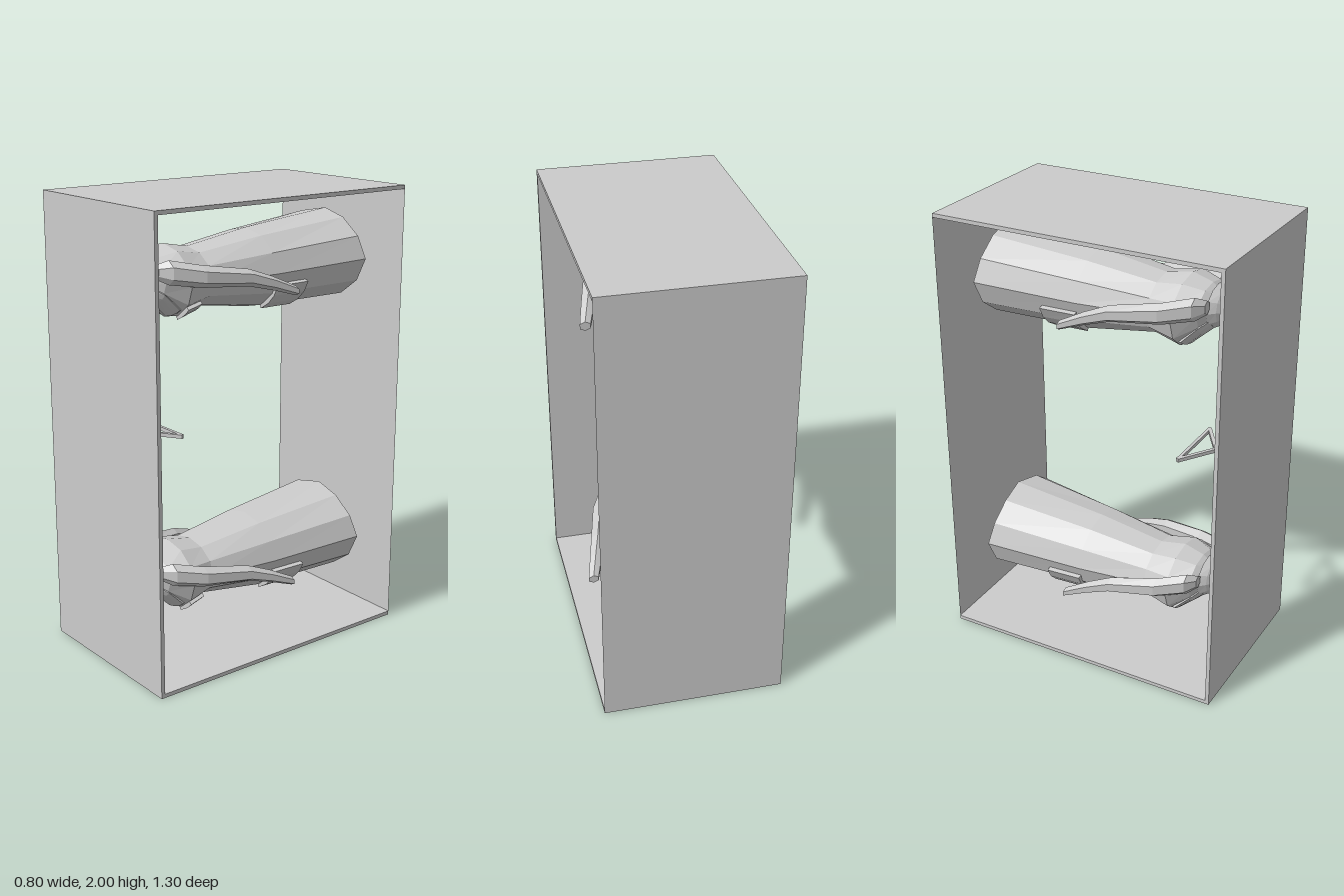
import * as THREE from 'three';

const flat = new THREE.MeshStandardMaterial({ color: 0xcccccc, flatShading: true, side: THREE.DoubleSide });

function part(parent, name, geo, x = 0, y = 0, z = 0) {
  const m = new THREE.Mesh(geo, flat);
  m.name = name;
  m.position.set(x, y, z);
  parent.add(m);
  return m;
}

// Skin over rings of points; rings run towards -z, each counterclockwise seen from +z
function loft(rings, capStart = true, capEnd = true) {
  const n = rings[0].length, last = (rings.length - 1) * n, idx = [];
  for (let i = 0; i < rings.length - 1; i++) {
    for (let j = 0; j < n; j++) {
      const a = i * n + j, b = i * n + (j + 1) % n, c = b + n, d = a + n;
      idx.push(a, d, c, a, c, b);
    }
  }
  for (let j = 1; j < n - 1; j++) {
    if (capStart) idx.push(0, j, j + 1);
    if (capEnd) idx.push(last, last + j + 1, last + j);
  }
  const g = new THREE.BufferGeometry();
  g.setAttribute('position', new THREE.Float32BufferAttribute(rings.flat(2), 3));
  g.setIndex(idx);
  g.computeVertexNormals();
  return g;
}

// Coat sections: z, centre y, half width, half depth
const SECTIONS = [
  [0.49, 0, 0.05, 0.04],
  [0.46, 0, 0.08, 0.07],
  [0.42, 0, 0.15, 0.1],
  [0.33, -0.025, 0.2, 0.153],
  [0.21, -0.02, 0.175, 0.125],
  [-0.1, -0.018, 0.215, 0.172],
  [-0.55, 0.005, 0.27, 0.195],
];

// Point on the coat; angle t runs from the coat front (-y) towards +x
function onCoat(z, t, off = 0) {
  let i = 0;
  while (i < SECTIONS.length - 2 && z < SECTIONS[i + 1][0]) i++;
  const a = SECTIONS[i], b = SECTIONS[i + 1], k = (z - a[0]) / (b[0] - a[0]);
  const [cy, rx, ry] = [1, 2, 3].map(n => a[n] + (b[n] - a[n]) * k);
  return [(rx + off) * Math.sin(t), cy - (ry + off) * Math.cos(t), z];
}

// Raised slab on the coat; rows are [z, startAngle, endAngle]
function patch(rows, thick, steps = 3) {
  return loft(rows.map(([z, t0, t1]) => {
    const outer = [], inner = [];
    for (let i = 0; i <= steps; i++) {
      const t = t0 + (t1 - t0) * i / steps;
      outer.push(onCoat(z, t, thick));
      inner.unshift(onCoat(z, t, -0.008));
    }
    return [...outer, ...inner];
  }));
}

function ellipse(cx, cy, z, rx, ry, n) {
  return Array.from({ length: n }, (_, j) => {
    const t = j / n * Math.PI * 2;
    return [cx + rx * Math.sin(t), cy - ry * Math.cos(t), z];
  });
}

function makeCoat() {
  const coat = new THREE.Group();
  coat.name = 'coat';
  const N = 12;
  // Body with an open hem that dips slightly at alternate folds
  const rings = SECTIONS.map(([z, cy, rx, ry], i) => {
    const ring = ellipse(0, cy, z, rx, ry, N);
    if (i === SECTIONS.length - 1) ring.forEach((p, j) => { p[2] += j % 3 ? 0.008 : -0.008; });
    return ring;
  });
  part(coat, 'coatBody', loft(rings, false, false));
  part(coat, 'collar', loft([
    ellipse(0, 0, 0.5, 0.05, 0.045, N),
    ellipse(0, 0.005, 0.475, 0.085, 0.08, N),
    ellipse(0, 0.005, 0.445, 0.115, 0.095, N),
  ], false, false));

  for (const s of [1, -1]) {
    const span = (z, t0, t1) => s > 0 ? [z, t0, t1] : [z, -t1, -t0];
    // Sleeve rows: x, y, z, half width, half depth
    const sleeve = [
      [0.125, 0.04, 0.455, 0.025, 0.03],
      [0.165, 0.04, 0.42, 0.04, 0.05],
      [0.225, 0.02, 0.3, 0.04, 0.046],
      [0.275, 0.0, 0.1, 0.037, 0.036],
      [0.305, -0.03, 0, 0.032, 0.029],
      [0.335, -0.068, -0.1, 0.026, 0.02],
    ].map(([x, y, z, rx, ry]) => ellipse(s * x, y, z, rx, ry, 6));
    part(coat, 'sleeve', loft(sleeve));
    part(coat, 'lapel', patch([
      span(0.455, 0.5, 1.2), span(0.42, 0.35, 1.05), span(0.35, 0.2, 0.8), span(0.21, 0.02, 0.15),
    ], 0.01));
    part(coat, 'sidePocket', patch([span(-0.1, 0.5, 1.3), span(-0.255, 0.5, 1.3)], 0.014));
  }
  part(coat, 'chestPocket', patch([[0.33, 0.45, 0.95], [0.25, 0.45, 0.95]], 0.014));
  return coat;
}

// Flat hanger in the xz plane, hooked round the rod
function makeHanger() {
  const hanger = new THREE.Group();
  hanger.name = 'hanger';
  const bar = (name, x0, z0, x1, z1, w) => {
    const len = Math.hypot(x1 - x0, z1 - z0);
    const m = part(hanger, name, new THREE.BoxGeometry(len + w * 0.6, 0.016, w), (x0 + x1) / 2, 0, (z0 + z1) / 2);
    m.rotation.y = -Math.atan2(z1 - z0, x1 - x0);
  };
  bar('hangerBase', -0.155, 0.358, 0.155, 0.358, 0.014);
  bar('hangerArm', 0, 0.46, 0.155, 0.358, 0.016);
  bar('hangerArm', 0, 0.46, -0.155, 0.358, 0.016);
  const hook = [[0, 0.46], [0, 0.51], [0.025, 0.53], [0.025, 0.56], [0, 0.573], [-0.03, 0.57], [-0.038, 0.545]];
  for (let i = 1; i < hook.length; i++) bar('hangerHook', ...hook[i - 1], ...hook[i], 0.012);
  return hanger;
}

export function createModel() {
  const model = new THREE.Group();
  model.name = 'wardrobe';
  const T = 0.017;

  // Cabinet shell, open on both x sides
  part(model, 'frontPanel', new THREE.BoxGeometry(0.8, 2 - 2 * T, T), 0, 1, 0.65 - T / 2);
  for (const y of [T / 2, 2 - T / 2]) part(model, 'endPanel', new THREE.BoxGeometry(0.8, T, 1.3), 0, y, 0);
  part(model, 'backPanel', new THREE.PlaneGeometry(0.8, 2), 0, 1, -0.65).rotation.y = Math.PI;

  part(model, 'rod', new THREE.CylinderGeometry(0.008, 0.008, 2 - 2 * T, 8), 0, 1, 0.553);

  for (const y of [0.362, 1.014, 1.662]) {
    const hanger = makeHanger();
    hanger.position.y = y;
    model.add(hanger);
  }
  for (const y of [0.37, 1.67]) {
    const coat = makeCoat();
    coat.position.y = y;
    model.add(coat);
  }
  return model;
}
